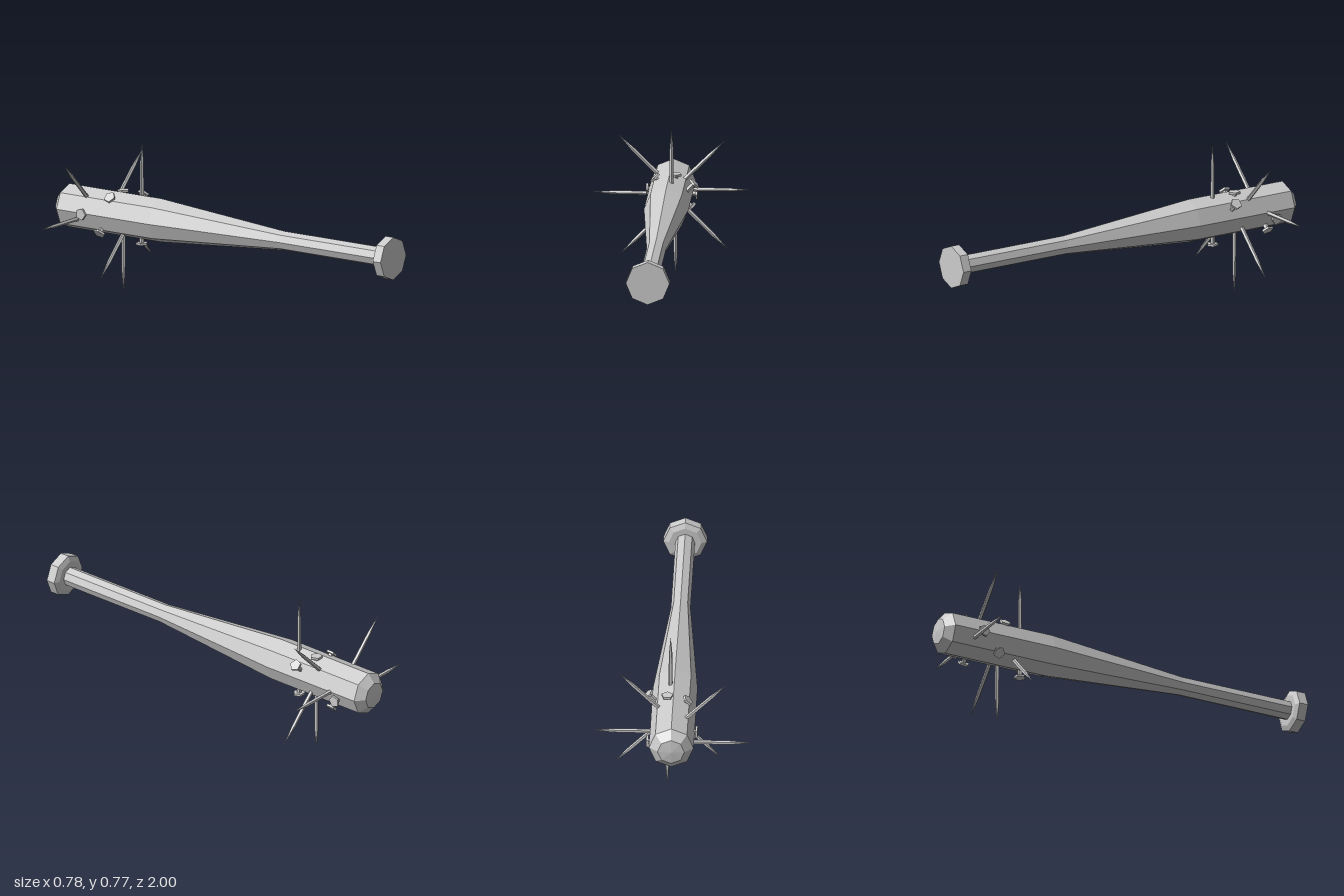
import * as THREE from 'three';

const material = new THREE.MeshStandardMaterial({ color: 0xcccccc, flatShading: true });

function lathe(name, profile, sides) {
  const points = profile.map(([r, y]) => new THREE.Vector2(r, y));
  const mesh = new THREE.Mesh(new THREE.LatheGeometry(points, sides), material);
  mesh.name = name;
  return mesh;
}

export function createModel() {
  const model = new THREE.Group();
  model.name = 'spikedBat';

  // Octagonal bat lying along z: domed barrel end at the back, grip at the front
  const bat = lathe('batBody', [
    [0, -1], [0.066, -0.993], [0.109, -0.955], [0.109, -0.4],
    [0.048, 0.34], [0.048, 0.942],
  ], 8);
  // Chamfered knob closing the grip
  const knob = lathe('knob', [
    [0.046, 0.942], [0.08, 0.942], [0.107, 0.953], [0.107, 1], [0, 1],
  ], 8);
  for (const part of [bat, knob]) {
    part.rotation.x = Math.PI / 2;
    part.position.set(-0.001, 0.403, 0);
    model.add(part);
  }

  // Nails driven right through the barrel: tip x, y, z and direction in degrees
  const nails = [
    [0.017, 0.775, -0.53, 90],
    [0.265, 0.673, -0.705, 45],
    [0.39, 0.401, -0.8, 0],
    [0.288, 0.135, -0.66, -45],
    [0.029, 0.003, -0.65, -90],
    [-0.237, 0.125, -0.597, -135],
    [-0.39, 0.368, -0.84, 180],
    [-0.263, 0.673, -0.8, 135],
  ];
  // Five-sided nail with its tip at the origin: head, tapering shank, point
  const nailProfile = [
    [0, -0.515], [0.03, -0.515], [0.03, -0.504], [0.0125, -0.504],
    [0.0095, -0.1], [0, 0],
  ];
  nails.forEach(([x, y, z, angle], i) => {
    const nail = lathe(`nail${i + 1}`, nailProfile, 5);
    nail.position.set(x, y, z);
    nail.rotation.z = THREE.MathUtils.degToRad(angle - 90);
    model.add(nail);
  });

  return model;
}
